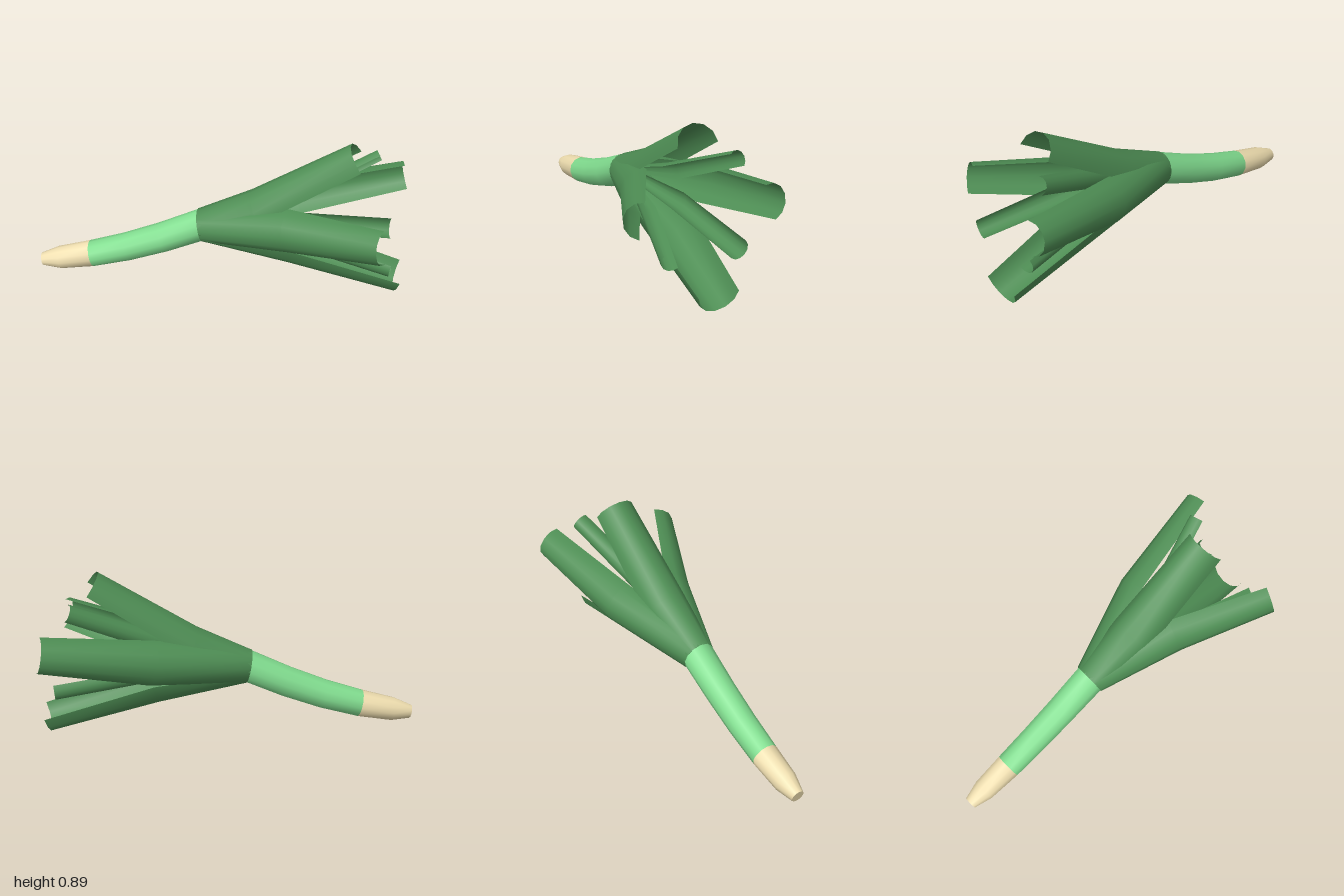
import * as THREE from 'three';

const V = (x, y, z) => new THREE.Vector3(x, y, z);
const material = (color, side = THREE.FrontSide) => new THREE.MeshStandardMaterial({ color, side });

// Skin over circular arcs. Each section has centre c, radius r and axis t;
// o is the direction of the middle of the arc, sweep its total angle.
function loft(sections, o, sweep, segs) {
  const closed = sweep > 6.28;
  const cols = closed ? segs : segs + 1;
  const pos = [], index = [];
  for (const { c, r, t } of sections) {
    const side = t.clone().cross(o).normalize();
    const out = side.clone().cross(t).normalize();
    for (let j = 0; j < cols; j++) {
      const a = (j / segs - 0.5) * sweep;
      const p = c.clone().addScaledVector(out, r * Math.cos(a)).addScaledVector(side, r * Math.sin(a));
      pos.push(p.x, p.y, p.z);
    }
  }
  for (let i = 0; i < sections.length - 1; i++) {
    for (let j = 0; j < segs; j++) {
      const a = i * cols + j, b = i * cols + (j + 1) % cols;
      index.push(a, b, a + cols, b, b + cols, a + cols);
    }
  }
  const g = new THREE.BufferGeometry();
  g.setAttribute('position', new THREE.Float32BufferAttribute(pos, 3));
  g.setIndex(index);
  g.computeVertexNormals();
  return g;
}

export function createModel() {
  const group = new THREE.Group();
  const add = (name, geometry, mat) => {
    const mesh = new THREE.Mesh(geometry, mat);
    mesh.name = name;
    group.add(mesh);
  };
  const Z = -0.047;
  const up = V(0, 1, 0);
  const ring = (x, y, r, tx, ty) => ({ c: V(x, y, Z), r, t: V(tx, ty, 0).normalize() });

  // Bulb and stalk, bending upward
  const rings = [
    ring(-0.99, 0.045, 0.036, 0.98, 0.2),
    ring(-0.89, 0.065, 0.063, 0.98, 0.18),
    ring(-0.71, 0.107, 0.073, 0.97, 0.22),
    ring(-0.51, 0.17, 0.078, 0.94, 0.34),
    ring(-0.31, 0.25, 0.082, 0.92, 0.4),
    ring(-0.105, 0.347, 0.087, 0.97, 0.2),
  ];
  const [first, last] = [rings[0], rings[5]];
  const rootMat = material(0xf0dfb0);
  add('root', loft(rings.slice(0, 3), up, Math.PI * 2, 12), rootMat);
  add('rootEnd', loft([{ ...first, r: 0 }, first], up, Math.PI * 2, 12), rootMat);
  add('stalk', loft(rings.slice(2), up, Math.PI * 2, 12), material(0x82de90));

  // Pale cut end of the stalk between the leaves
  add('stalkEnd', loft([last, { ...last, r: 0 }], up, Math.PI * 2, 12), material(0xcccccc, THREE.DoubleSide));

  // Leaves: outward direction (y, z), base radius, then middle and tip as [x, y, z, radius]
  const leafMat = material(0x4f8f55, THREE.DoubleSide);
  const leaves = [
    ['topLeaf', [1, 0], 0.09, [0.215, 0.465, Z, 0.122], [0.73, 0.805, Z, 0.108]],
    ['bottomLeaf', [-1, 0], 0.09, [0.4, 0.305, Z, 0.138], [0.98, 0.122, Z, 0.108]],
    ['frontLeaf', [0.2, 0.98], 0.09, [0.385, 0.44, 0.075, 0.118], [0.87, 0.535, 0.31, 0.092]],
    ['backLeaf', [0.25, -0.97], 0.09, [0.41, 0.45, -0.2, 0.118], [0.98, 0.56, -0.31, 0.093]],
    ['upperInnerLeaf', [0.7, -0.7], 0.02, [0.38, 0.515, -0.07, 0.055], [0.835, 0.74, -0.205, 0.048]],
    ['frontInnerLeaf', [-0.7, 0.7], 0.02, [0.4, 0.395, 0.055, 0.058], [0.92, 0.32, 0.183, 0.05]],
    ['backInnerLeaf', [-0.7, -0.7], 0.02, [0.4, 0.362, -0.112, 0.052], [0.92, 0.31, -0.18, 0.055]],
  ];
  for (const [name, [oy, oz], r, m, e] of leaves) {
    const base = last.c, mid = V(m[0], m[1], m[2]), tip = V(e[0], e[1], e[2]);
    const d1 = mid.clone().sub(base).normalize();
    const d2 = tip.clone().sub(mid).normalize();
    const sections = [
      { c: base, r, t: last.t },
      { c: mid, r: m[3], t: d1.add(d2).normalize() },
      { c: tip, r: e[3], t: d2 },
    ];
    add(name, loft(sections, V(0, oy, oz), Math.PI, 6), leafMat);
  }
  return group;
}
